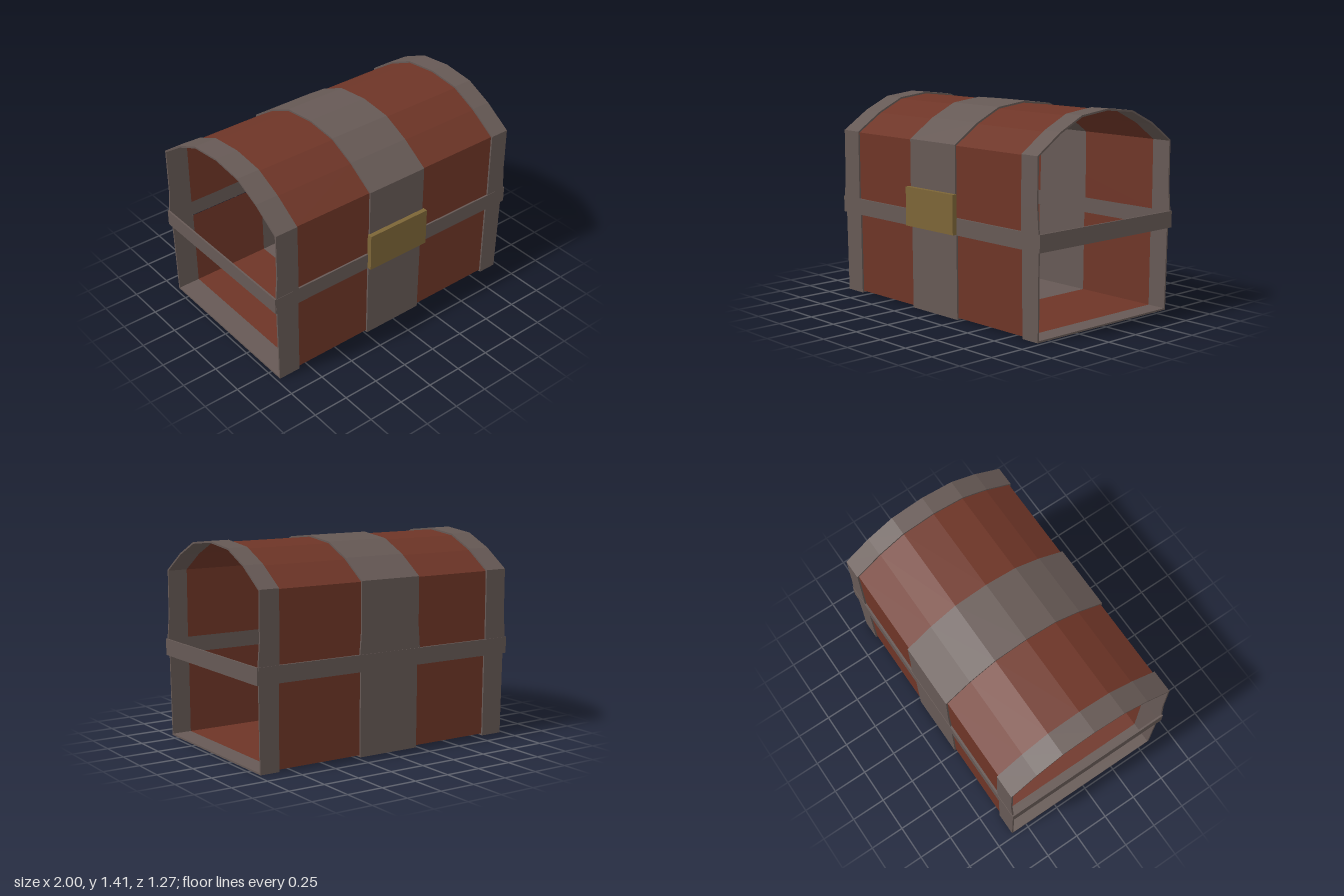
import * as THREE from 'three';

const T = 0.012; // strap thickness
const mat = (name, color) => new THREE.MeshStandardMaterial({ name, color, side: THREE.DoubleSide });

// Moves a [z, y] profile inwards by d with mitred corners
function inset(pts, d) {
  const normal = (a, b) => new THREE.Vector2(b[1] - a[1], a[0] - b[0]).normalize();
  return pts.map((p, i) => {
    const n1 = normal(pts[Math.max(i - 1, 0)], pts[Math.max(i, 1)]);
    const last = pts.length - 1;
    const n2 = normal(pts[Math.min(i, last - 1)], pts[Math.min(i + 1, last)]);
    const m = n1.clone().add(n2).normalize();
    const k = d / m.dot(n1);
    return [p[0] - m.x * k, p[1] - m.y * k];
  });
}

// Sweeps a profile between x0 and x1; edges may flare outwards by rule.
// A solid sweep also has an inner skin and side edges.
function sweep(outer, x0, x1, solid, flare = () => [0, 0]) {
  const pos = [];
  const quad = (a, b, c, d) => pos.push(...a, ...b, ...c, ...a, ...c, ...d);
  const inner = inset(outer, T);
  const at = (ring, i, side) => {
    const f = flare(outer[i][1]);
    return [side ? x1 + f[1] : x0 - f[0], ring[i][1], ring[i][0]];
  };
  for (let i = 0; i < outer.length - 1; i++) {
    const skin = solid ? outer : inner;
    quad(at(skin, i, 0), at(skin, i, 1), at(skin, i + 1, 1), at(skin, i + 1, 0));
    if (!solid) continue;
    quad(at(inner, i, 1), at(inner, i, 0), at(inner, i + 1, 0), at(inner, i + 1, 1));
    quad(at(inner, i, 0), at(outer, i, 0), at(outer, i + 1, 0), at(inner, i + 1, 0));
    quad(at(outer, i, 1), at(inner, i, 1), at(inner, i + 1, 1), at(outer, i + 1, 1));
  }
  const g = new THREE.BufferGeometry();
  g.setAttribute('position', new THREE.Float32BufferAttribute(pos, 3));
  g.computeVertexNormals();
  return g;
}

export function createModel() {
  const chest = new THREE.Group();
  chest.name = 'chest';
  const wood = mat('redWood', 0x6e3527);
  const iron = mat('greyIron', 0x665955);
  const brass = mat('brass', 0x7c6537);

  const add = (name, geometry, material) => {
    const m = new THREE.Mesh(geometry, material);
    m.name = name;
    chest.add(m);
  };
  const box = (name, material, x0, x1, y0, y1, z0, z1) => {
    const g = new THREE.BoxGeometry(x1 - x0, y1 - y0, z1 - z0);
    g.translate((x0 + x1) / 2, (y0 + y1) / 2, (z0 + z1) / 2);
    add(name, g, material);
  };

  // Profiles as [z, y]: faceted lid from front to back, tub from back to front
  const lid = (frontY) => [
    [0.605, frontY], ...(frontY < 0.8 ? [[0.605, 0.84]] : []),
    [0.605, 1.16], [0.41, 1.29], [0.22, 1.38], [-0.01, 1.406], [-0.25, 1.38],
    [-0.445, 1.29], [-0.634, 1.16], [-0.634, 0.84], [-0.634, 0.68],
  ];
  const tub = [[-0.624, 0.575], [-0.62, 0], [0.592, 0], [0.596, 0.575]];

  // Wooden panels between the straps
  for (const [x0, x1] of [[-0.815, -0.235], [0.22, 0.837]]) {
    add('lidPanel', sweep(lid(0.68), x0, x1, false), wood);
    add('tubPanel', sweep(tub, x0, x1, false), wood);
  }

  // Iron straps, widening slightly towards the rim
  const straps = [['leftEnd', 0.837, 0.976, 0, 1], ['middle', -0.235, 0.22, 1, 1], ['rightEnd', -0.977, -0.815, 1, 0]];
  for (const [name, x0, x1, fl, fr] of straps) {
    const lidFlare = (y) => (y < 0.7 ? [fl * 0.013, fr * 0.013] : [0, 0]);
    const tubFlare = (y) => (y < 0.1 ? [fl * -0.003, fr * -0.003] : [fl * 0.004, fr * 0.004]);
    const middle = name === 'middle';
    add(name + 'LidStrap', sweep(lid(middle ? 0.83 : 0.68), x0, x1, true, lidFlare), iron);
    add(name + 'TubStrap', sweep(tub, x0, x1, true, middle ? undefined : tubFlare), iron);
  }

  // Rim around the opening, left open behind the lock
  const [y0, y1] = [0.57, 0.683];
  box('frontRimRight', iron, -0.99, -0.245, y0, y1, 0.593, 0.606);
  box('frontRimLeft', iron, 0.225, 0.99, y0, y1, 0.593, 0.606);
  box('backRim', iron, -0.99, 0.99, y0, y1, -0.637, -0.622);
  box('leftRim', iron, 0.988, 1, y0, y1, -0.635, 0.605);
  box('rightRim', iron, -1, -0.988, y0, y1, -0.635, 0.605);

  // Lock plate
  box('lockPlate', brass, -0.25, 0.232, 0.574, 0.84, 0.602, 0.637);

  return chest;
}
